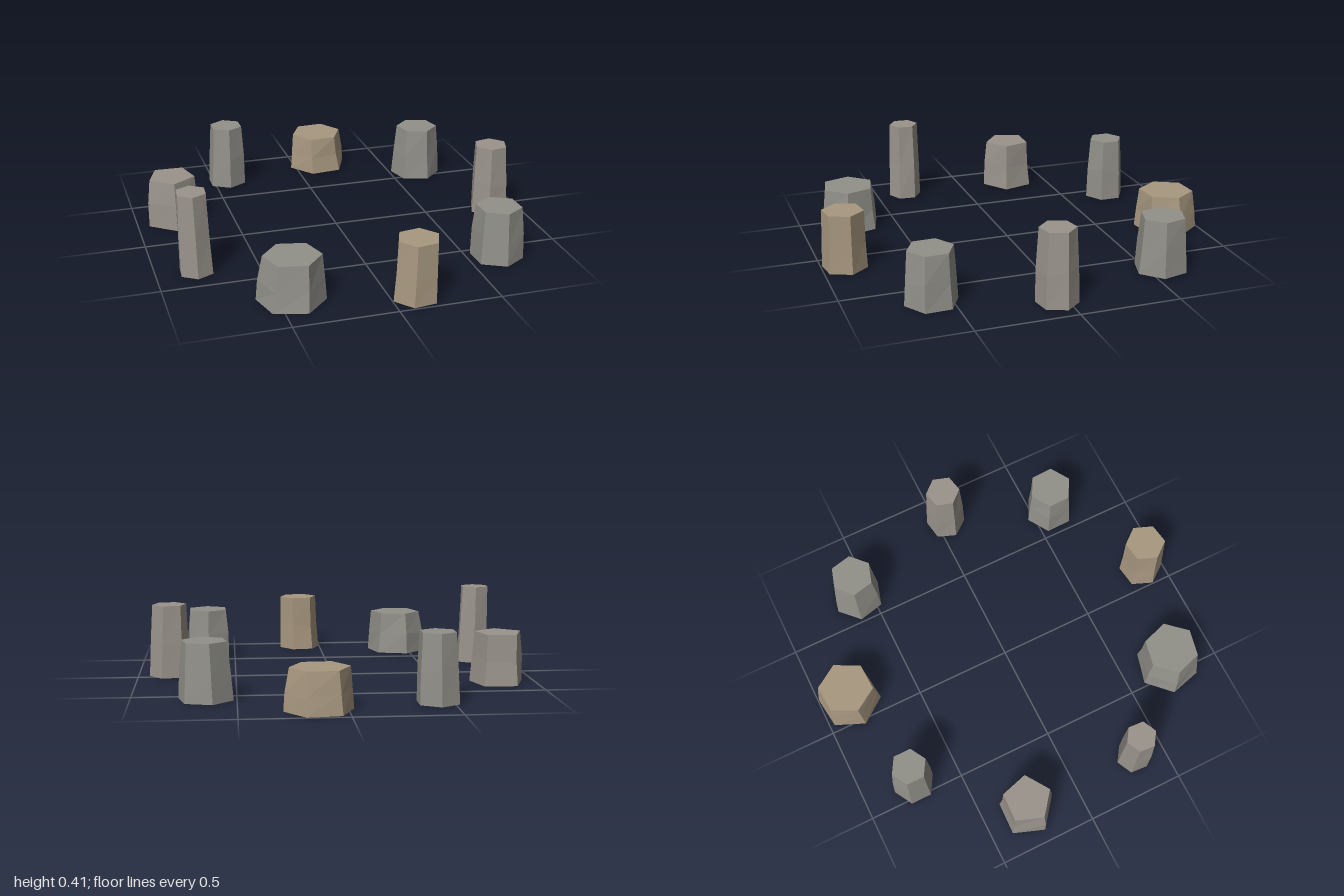
import * as THREE from 'three';

const TAN = 0xa89880, WARM = 0x9a948c, GREY = 0x92918a;

// Each stone: sides, height, base and top rings as [x, z, radius, turn in degrees]
const STONES = [
  { color: TAN, sides: 6, height: 0.2, base: [0.135, -0.845, 0.163, -7], top: [0.13, -0.845, 0.14, -3] },
  { color: GREY, sides: 6, height: 0.28, base: [0.645, -0.57, 0.135, 16], top: [0.65, -0.57, 0.112, 17] },
  { color: WARM, sides: 6, height: 0.37, base: [0.84, 0.05, 0.103, -9], top: [0.836, 0.05, 0.088, -12] },
  { color: GREY, sides: 6, height: 0.27, base: [0.648, 0.596, 0.131, 28], top: [0.648, 0.596, 0.113, 28] },
  { color: TAN, sides: 6, height: 0.3, base: [0.117, 0.886, 0.114, -8], top: [0.125, 0.886, 0.104, -9] },
  { color: GREY, sides: 6, height: 0.225, base: [-0.438, 0.744, 0.164, 15], top: [-0.43, 0.744, 0.138, 12] },
  { color: WARM, sides: 6, height: 0.415, base: [-0.803, 0.34, 0.088, 34], top: [-0.812, 0.336, 0.077, 34] },
  { color: WARM, sides: 5, height: 0.255, base: [-0.807, -0.28, 0.14, 20], top: [-0.81, -0.28, 0.122, 20] },
  { color: GREY, sides: 6, height: 0.335, base: [-0.427, -0.735, 0.107, 30], top: [-0.423, -0.735, 0.09, 30] },
];

// Repeatable noise in the range -1..1
function noise(seed) {
  const v = Math.sin(seed * 12.9898) * 43758.5453;
  return (v - Math.floor(v)) * 2 - 1;
}

// Tapered prism with an uneven ring of corners halfway up
function stoneGeometry({ sides, height, base, top }, seed) {
  const geometry = new THREE.CylinderGeometry(1, 1, 1, sides, 2);
  const pos = geometry.attributes.position;
  const step = (Math.PI * 2) / sides;
  for (let i = 0; i < pos.count; i++) {
    const t = pos.getY(i) + 0.5;
    const reach = Math.hypot(pos.getX(i), pos.getZ(i));
    const turns = (Math.atan2(pos.getZ(i), pos.getX(i)) - Math.PI / 2) / step;
    const corner = (Math.round(turns) + sides * 2) % sides;
    const [x, z, radius, turn] = base.map((b, j) => THREE.MathUtils.lerp(b, top[j], t));
    const isMiddle = Math.abs(t - 0.5) < 0.1;
    const key = seed * 17 + corner + 1;
    const r = radius * reach * (isMiddle ? 1.01 + 0.05 * noise(key) : 1);
    const y = height * (isMiddle ? 0.47 + 0.07 * noise(key + 200) : t);
    const angle = THREE.MathUtils.degToRad(turn) + corner * step;
    pos.setXYZ(i, x + r * Math.cos(angle), y, z + r * Math.sin(angle));
  }
  geometry.computeVertexNormals();
  return geometry;
}

export function createModel() {
  const circle = new THREE.Group();
  circle.name = 'stoneCircle';
  STONES.forEach((stone, i) => {
    const material = new THREE.MeshStandardMaterial({ color: stone.color, flatShading: true });
    const mesh = new THREE.Mesh(stoneGeometry(stone, i), material);
    mesh.name = `standingStone${i + 1}`;
    circle.add(mesh);
  });
  return circle;
}
